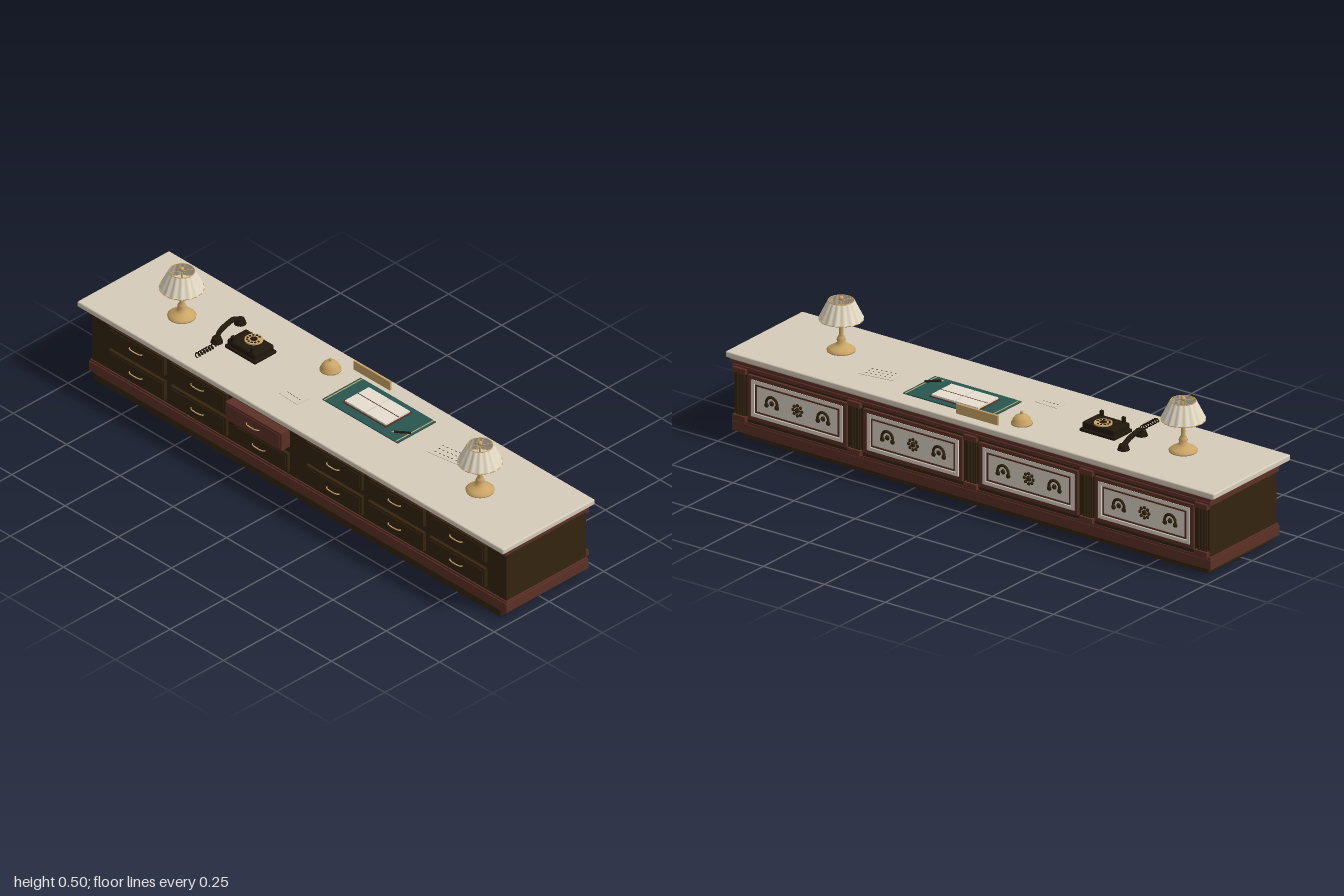
import * as THREE from 'three';
import { RoundedBoxGeometry } from 'three/addons/geometries/RoundedBoxGeometry.js';

const mat = (name, color) => {
  const m = new THREE.MeshStandardMaterial({ color });
  m.name = name;
  return m;
};

export function createModel() {
  const wood = mat('dark wood', 0x33240f);
  const red = mat('red mahogany', 0x5c3026);
  const stone = mat('pale stone', 0xd6ccba);
  const ivory = mat('ivory panel', 0xd9d3c6);
  const brass = mat('brass', 0xcba566);
  const black = mat('black enamel', 0x21180c);
  const green = mat('green leather', 0x28574f);
  const paper = mat('paper', 0xe6dfd0);
  const shadeMat = mat('lamp shade', 0xe4dac4);
  shadeMat.side = THREE.DoubleSide;

  const root = new THREE.Group();
  root.name = 'receptionDesk';
  const group = (name, parent = root, x = 0, y = 0, z = 0) => {
    const g = new THREE.Group();
    g.name = name;
    g.position.set(x, y, z);
    parent.add(g);
    return g;
  };
  const mesh = (name, geo, m, x = 0, y = 0, z = 0, parent = root) => {
    const o = new THREE.Mesh(geo, m);
    o.name = name;
    o.position.set(x, y, z);
    parent.add(o);
    return o;
  };
  // box given by its limits on each axis
  const box = (name, m, [x0, x1], [y0, y1], [z0, z1], parent = root, r = 0) => {
    const s = [x1 - x0, y1 - y0, z1 - z0];
    const geo = r ? new RoundedBoxGeometry(...s, 2, r) : new THREE.BoxGeometry(...s);
    return mesh(name, geo, m, (x0 + x1) / 2, (y0 + y1) / 2, (z0 + z1) / 2, parent);
  };
  const tube = (pts, r, seg = 24) => new THREE.TubeGeometry(
    new THREE.CatmullRomCurve3(pts.map(p => new THREE.Vector3(...p))), seg, r, 8);
  const lathe = (pts, seg = 32) => new THREE.LatheGeometry(pts.map(p => new THREE.Vector2(...p)), seg);

  // carcass, mouldings and counter
  box('plinth', wood, [-0.955, 0.955], [0, 0.03], [-0.177, 0.178], root, 0.005);
  box('baseMoulding', red, [-0.98, 0.98], [0.028, 0.062], [-0.2, 0.175]);
  box('baseMouldingTop', red, [-0.977, 0.977], [0.062, 0.07], [-0.198, 0.172]);
  box('carcass', wood, [-0.972, 0.972], [0.068, 0.275], [-0.195, 0.168]);
  box('lowerCrown', red, [-0.977, 0.977], [0.253, 0.265], [-0.2, 0.177]);
  box('upperCrown', red, [-0.982, 0.982], [0.27, 0.281], [-0.205, 0.178]);
  box('counterUnderside', stone, [-0.99, 0.99], [0.28, 0.29], [-0.202, 0.2], root, 0.003);
  box('counterTop', stone, [-1, 1], [0.285, 0.306], [-0.21, 0.21], root, 0.005);

  // two rows of six drawers, one pulled out
  const pull = tube([[-0.03, 0, 0], [-0.024, 0, 0.006], [0, -0.002, 0.007], [0.024, 0, 0.006], [0.03, 0, 0]], 0.0022);
  [-0.752, -0.463, -0.174, 0.174, 0.463, 0.752].forEach((x, i) => {
    [[0.084, 0.157], [0.182, 0.25]].forEach(([y0, y1], row) => {
      const open = i === 2 && row === 1;
      const z = open ? 0.21 : 0.182, m = open ? red : wood;
      const d = group(open ? 'openDrawer' : 'drawer');
      box('drawerFront', m, [x - 0.131, x + 0.131], [y0, y1], [0.16, z - 0.002], d);
      box('drawerField', m, [x - 0.122, x + 0.122], [y0 + 0.008, y1 - 0.008], [0.165, z], d);
      mesh('drawerPull', pull, brass, x, (y0 + y1) / 2, z, d);
    });
  });

  // pilasters on the back
  for (let i = -2; i <= 2; i++) {
    const x = i * 0.475, c = Math.sign(i) * (Math.abs(i) === 2 ? 0.005 : 0);
    const p = group('pilaster', root, x - c, 0, 0);
    box('pilasterShaft', wood, [-0.02, 0.02], [0.085, 0.245], [-0.2, -0.19], p);
    for (const fx of [-0.012, 0, 0.012])
      mesh('flute', new THREE.CylinderGeometry(0.004, 0.004, 0.15, 8), wood, fx, 0.165, -0.2, p);
    box('pilasterCap', red, [-0.026, 0.026], [0.241, 0.259], [-0.21, -0.19], p);
    box('pilasterFoot', red, [-0.026, 0.026], [0.071, 0.09], [-0.21, -0.19], p);
  }

  // rectangular frame with a rectangular opening
  const frame = (w, h, t, depth) => {
    const rect = (P, a, b) => new P([[-a, -b], [a, -b], [a, b], [-a, b]].map(q => new THREE.Vector2(...q)));
    const s = rect(THREE.Shape, w / 2, h / 2);
    s.holes.push(rect(THREE.Path, w / 2 - t, h / 2 - t));
    return new THREE.ExtrudeGeometry(s, { depth, bevelEnabled: false });
  };
  // four ornamented back panels
  for (let i = 0; i < 4; i++) {
    const p = group('backPanel', root, (i - 1.5) * 0.4735, 0.165, -0.195);
    p.rotation.y = Math.PI;
    mesh('outerFrame', frame(0.405, 0.158, 0.013, 0.01), red, 0, 0, 0, p);
    box('panelField', ivory, [-0.19, 0.19], [-0.068, 0.068], [0, 0.006], p);
    mesh('raisedBorder', frame(0.374, 0.13, 0.012, 0.01), ivory, 0, 0, 0, p);
    mesh('innerBead', frame(0.342, 0.1, 0.005, 0.009), red, 0, 0, 0, p);
    const rosette = group('rosette', p, 0, 0, 0.007);
    const bead = (parent, x, y, r) => mesh('bead', new THREE.SphereGeometry(r, 10, 6), wood, x, y, 0, parent).scale.z = 0.7;
    bead(rosette, 0, 0, 0.01);
    for (let k = 0; k < 8; k++) {
      const a = k * Math.PI / 4;
      bead(rosette, Math.cos(a) * 0.018, Math.sin(a) * 0.018, 0.0062);
    }
    for (const s of [-1, 1]) {
      const w = group('scrollOrnament', p, s * 0.105, -0.002, 0.007);
      mesh('scrollArch', new THREE.TorusGeometry(0.022, 0.005, 8, 20, Math.PI * 1.2), wood, 0, 0, 0, w).rotation.z = -0.1 * Math.PI;
      bead(w, 0, 0, 0.009);
      for (const e of [-1, 1]) bead(w, e * 0.021, -0.01, 0.009);
    }
  }

  // pair of lamps with pleated shades
  const pleated = new THREE.CylinderGeometry(0.0425, 0.0735, 0.065, 96, 1, true);
  const pp = pleated.attributes.position;
  for (let i = 0; i < pp.count; i++) {
    const k = 1 + 0.035 * Math.cos(16 * Math.atan2(pp.getZ(i), pp.getX(i)));
    pp.setX(i, pp.getX(i) * k);
    pp.setZ(i, pp.getZ(i) * k);
  }
  pleated.computeVertexNormals();
  for (const s of [-1, 1]) {
    const l = group('lamp', root, s * 0.7, 0.305, 0.023);
    mesh('lampStem', lathe([[0, 0], [0.047, 0], [0.048, 0.006], [0.04, 0.013], [0.024, 0.022], [0.014, 0.03],
      [0.015, 0.042], [0.012, 0.05], [0.008, 0.056], [0.008, 0.104], [0.011, 0.108], [0.008, 0.114],
      [0.004, 0.12], [0.003, 0.18], [0, 0.18]]), brass, 0, 0, 0, l);
    mesh('lampShade', pleated, shadeMat, 0, 0.1475, 0, l);
    for (const [r, y] of [[0.0735, 0.115], [0.0425, 0.18]])
      mesh('shadeTrim', new THREE.TorusGeometry(r, 0.0016, 6, 48), brass, 0, y, 0, l).rotation.x = Math.PI / 2;
    for (let k = 0; k < 3; k++) {
      const spoke = mesh('shadeSpoke', new THREE.BoxGeometry(0.084, 0.0015, 0.0015), brass, 0, 0.18, 0, l);
      spoke.rotation.y = k * Math.PI / 3;
    }
    mesh('finial', new THREE.SphereGeometry(0.008, 16, 10), brass, 0, 0.187, 0, l);
  }

  // telephone with rotary dial, cradle, handset and coiled cord
  const phone = group('telephone', root, -0.401, 0.306, 0);
  box('phoneFoot', black, [-0.072, 0.072], [0, 0.012], [-0.05, 0.05], phone, 0.004);
  box('phoneBody', black, [-0.066, 0.066], [0.008, 0.034], [-0.044, 0.044], phone, 0.006);
  mesh('dialPlate', new THREE.CylinderGeometry(0.031, 0.031, 0.005, 32), brass, 0, 0.036, -0.015, phone);
  mesh('dialCentre', new THREE.CylinderGeometry(0.012, 0.012, 0.003, 20), black, 0, 0.039, -0.015, phone);
  for (let k = 0; k < 10; k++) {
    const a = k * 0.55;
    mesh('fingerHole', new THREE.CylinderGeometry(0.0042, 0.0042, 0.002, 10), black,
      Math.cos(a) * 0.022, 0.0385, -0.015 + Math.sin(a) * 0.022, phone);
  }
  for (const s of [-1, 1])
    box('cradleProng', black, [s * 0.045 - 0.006, s * 0.045 + 0.006], [0.03, 0.052], [0.03, 0.042], phone, 0.002);
  const handset = group('handset', root, 0, 0.306, 0);
  mesh('handsetGrip', tube([[-0.537, 0.014, -0.085], [-0.538, 0.028, -0.06], [-0.53, 0.031, -0.015],
    [-0.52, 0.028, 0.025], [-0.514, 0.014, 0.045]], 0.009), black, 0, 0, 0, handset);
  for (const [x, z] of [[-0.537, -0.085], [-0.513, 0.045]])
    mesh('handsetCup', new THREE.CylinderGeometry(0.015, 0.021, 0.018, 20), black, x, 0.009, z, handset);
  const coil = [];
  for (let i = 0; i <= 84; i++) {
    const a = i / 12 * Math.PI * 2;
    coil.push([-0.492 + 0.008 * Math.cos(a), 0.317 + 0.007 * Math.sin(a), 0.077 + i * 0.001]);
  }
  mesh('coiledCord', tube(coil, 0.0022, 170), black);

  // call bell
  mesh('callBell', lathe([[0, 0], [0.036, 0], [0.036, 0.006], [0.032, 0.008], [0.03, 0.018], [0.022, 0.028],
    [0.01, 0.034], [0.004, 0.035], [0.004, 0.039], [0.006, 0.042], [0.004, 0.045], [0, 0.046]]), brass, -0.14, 0.305, -0.111);

  // name plate
  box('namePlate', brass, [-0.088, 0.083], [0.306, 0.34], [-0.173, -0.165]);

  // desk pad with an open register and a pen
  box('deskPad', green, [-0.033, 0.32], [0.305, 0.31], [-0.145, 0.03]);
  for (const x of [-0.024, 0.311])
    box('padTrim', brass, [x - 0.002, x + 0.002], [0.306, 0.3108], [-0.145, 0.03]);
  box('registerCover', red, [0.028, 0.232], [0.31, 0.313], [-0.121, -0.003]);
  for (const s of [-1, 1]) {
    const xs = s < 0 ? [0.034, 0.128] : [0.132, 0.226];
    box('registerPages', paper, xs, [0.312, 0.319], [-0.117, -0.007]);
    box('pageRule', red, xs, [0.318, 0.3196], [-0.068, -0.065]);
  }
  const pen = group('pen', root, 0.293, 0.315, -0.018);
  pen.rotation.set(0, 0.7, 0);
  mesh('penBarrel', new THREE.CylinderGeometry(0.004, 0.004, 0.055, 10), black, 0, 0, 0, pen).rotation.z = Math.PI / 2;
  mesh('penTip', new THREE.ConeGeometry(0.004, 0.012, 10), brass, -0.033, 0, 0, pen).rotation.z = Math.PI / 2;

  // loose cards with small ink marks
  const card = (x, z, w, d, turn, rows, cols) => {
    const c = group('card', root, x, 0.306, z);
    c.rotation.y = turn;
    box('cardSheet', stone, [-w / 2, w / 2], [0, 0.0015], [-d / 2, d / 2], c);
    for (let r = 0; r < rows; r++) for (let k = 0; k < cols; k++) {
      const px = (k - (cols - 1) / 2) * w * 0.8 / cols, pz = (r - (rows - 1) / 2) * d * 0.28;
      box('inkMark', black, [px - 0.003, px + 0.003], [0.001, 0.002], [pz - 0.001, pz + 0.001], c);
    }
  };
  card(0.48, -0.053, 0.13, 0.075, 0.15, 3, 6);
  card(-0.112, 0.083, 0.09, 0.05, -0.05, 1, 5);
  return root;
}
